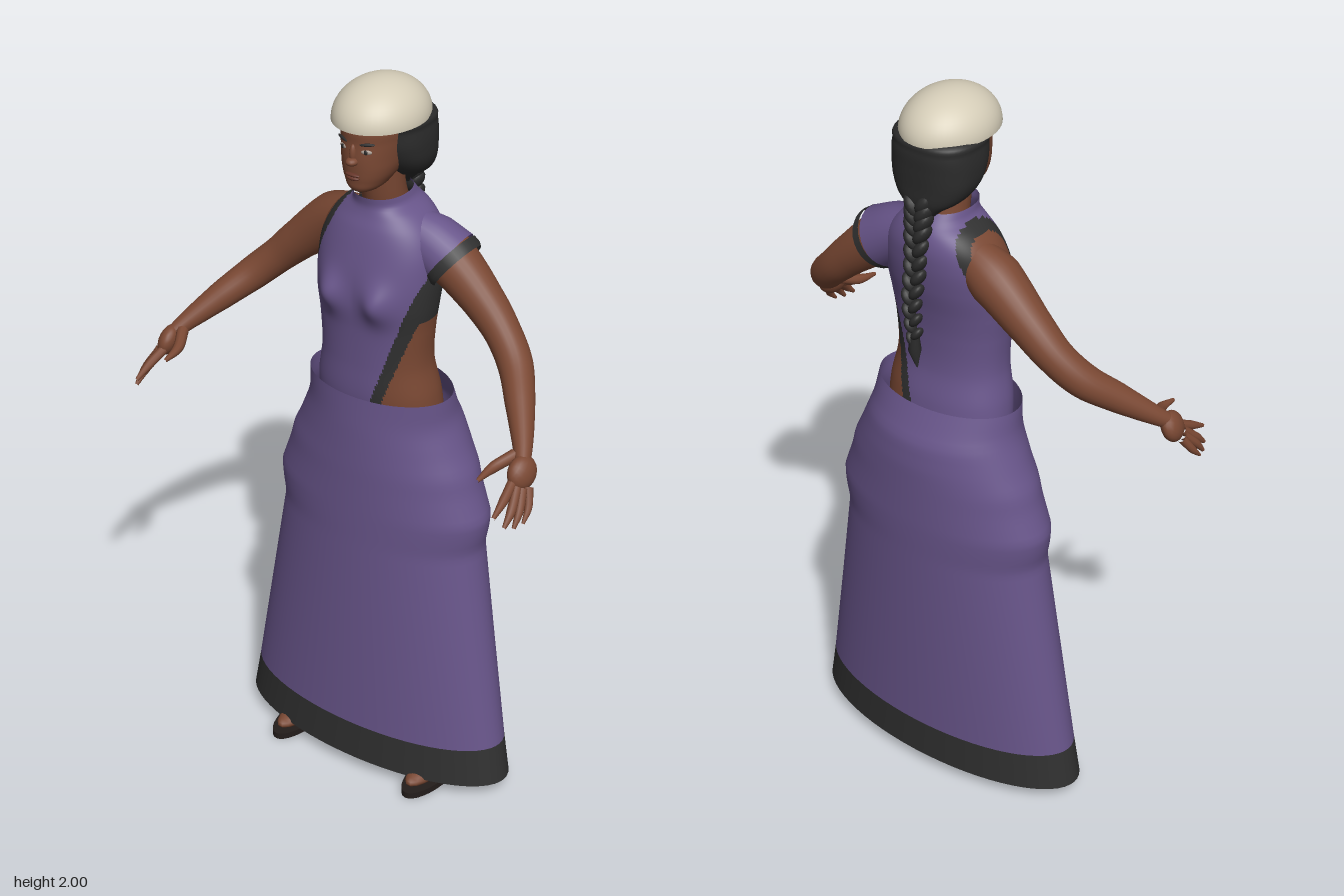
import * as THREE from 'three';

const flat = (name, color, side = THREE.FrontSide) => {
  const m = new THREE.MeshStandardMaterial({ color, side });
  m.name = name;
  return m;
};

export function createModel() {
  const model = new THREE.Group();
  model.name = 'figure';
  const cloth = flat('purple cloth', 0x68558a, THREE.DoubleSide);
  const trim = flat('charcoal trim', 0x303030, THREE.DoubleSide);
  const skin = flat('brown skin', 0x7a4833);
  const hairMat = flat('black hair', 0x2b2b2b);
  const capMat = flat('cream cap', 0xd5cdb8, THREE.DoubleSide);
  const lipMat = flat('lip', 0x653529);
  const white = flat('eye white', 0xa89a90);
  const sole = flat('sandal', 0x241d1b);

  const add = (name, geo, mat, parent = model) => {
    const mesh = new THREE.Mesh(geo, mat);
    mesh.name = name;
    parent.add(mesh);
    return mesh;
  };

  // Closed rings [y, halfWidth, zFront, zBack] joined into a skin; pick() chooses a material per face
  function loft(rows, { around = 48, steps = 40, n = 2, smooth = true, bump, pick } = {}) {
    const Interp = smooth ? THREE.CubicInterpolant : THREE.LinearInterpolant;
    const f = new Interp(rows.map(r => r[0]), new Float32Array(rows.flatMap(r => r.slice(1))), 3);
    const y0 = rows[0][0], y1 = rows[rows.length - 1][0], pos = [], buckets = [[], [], []];
    const pw = v => Math.sign(v) * Math.abs(v) ** (2 / n);
    for (let i = 0; i <= steps; i++) {
      const y = y0 + (y1 - y0) * i / steps;
      const [hw, zf, zb] = f.evaluate(y);
      for (let j = 0; j < around; j++) {
        const a = j / around * Math.PI * 2;
        const x = hw * pw(Math.sin(a));
        let z = (zf + zb) / 2 + (zf - zb) / 2 * pw(Math.cos(a));
        if (bump) z += bump(x, y, Math.cos(a));
        pos.push(x, y, z);
      }
    }
    for (let i = 0; i < steps; i++) for (let j = 0; j < around; j++) {
      const k = (j + 1) % around;
      const a = i * around + j, b = i * around + k, c = b + around, d = a + around;
      const mid = q => (pos[a * 3 + q] + pos[c * 3 + q]) / 2;
      buckets[pick ? pick(mid(0), mid(1), mid(2)) : 0].push(a, b, c, a, c, d);
    }
    const g = new THREE.BufferGeometry();
    g.setAttribute('position', new THREE.Float32BufferAttribute(pos, 3));
    g.setIndex(buckets.flat());
    let start = 0;
    if (pick) buckets.forEach((b, m) => { g.addGroup(start, b.length, m); start += b.length; });
    g.computeVertexNormals();
    return g;
  }

  // Round limb through points [x, y, z, radius]
  function limb(pts, s = 1, steps = 28, sides = 18) {
    const curve = new THREE.CatmullRomCurve3(pts.map(p => new THREE.Vector3(p[0] * s, p[1], p[2])));
    const g = new THREE.TubeGeometry(curve, steps, 1, sides);
    const p = g.attributes.position, v = new THREE.Vector3();
    for (let i = 0; i <= steps; i++) {
      const c = curve.getPointAt(i / steps);
      const t = curve.getUtoTmapping(i / steps) * (pts.length - 1);
      const k = Math.min(Math.floor(t), pts.length - 2);
      const r = THREE.MathUtils.lerp(pts[k][3], pts[k + 1][3], t - k);
      for (let j = 0; j <= sides; j++) {
        const q = i * (sides + 1) + j;
        v.fromBufferAttribute(p, q).sub(c).multiplyScalar(r).add(c);
        p.setXYZ(q, v.x, v.y, v.z);
      }
    }
    return g;
  }

  const ball = (name, mat, [x, y, z], [a, b, c], parent = model) => {
    const m = add(name, new THREE.SphereGeometry(1, 18, 12), mat, parent);
    m.position.set(x, y, z);
    m.scale.set(a, b, c);
    return m;
  };

  // Torso: asymmetric top with one bare shoulder and a cut-out at the left waist
  const torsoColour = (x, y) => {
    const armhole = y > 1.55 ? -0.13 + (y - 1.55) * 0.4 : -0.13 + (y - 1.55) * 0.33;
    if (y > 1.41 && y < 1.685 && x < armhole) return x > armhole - 0.024 ? 1 : 2;
    const edge = 0.05 + (y - 1.16) / 3;
    if (y < 1.53 && x > edge) return x < edge + 0.03 || y > 1.385 ? 1 : 2;
    return 0;
  };
  add('torso', loft([
    [0.85, 0.02, -0.05, -0.1], [0.95, 0.17, 0.03, -0.17], [1.1, 0.176, 0.045, -0.18],
    [1.16, 0.172, 0.052, -0.175], [1.25, 0.156, 0.052, -0.158], [1.35, 0.16, 0.055, -0.16],
    [1.42, 0.168, 0.06, -0.17], [1.5, 0.172, 0.055, -0.188], [1.57, 0.165, 0.04, -0.198],
    [1.62, 0.142, 0.025, -0.198], [1.655, 0.108, 0.01, -0.188], [1.675, 0.078, 0.005, -0.175],
    [1.7, 0.068, 0.008, -0.155],
  ], {
    around: 200, steps: 130, n: 2.2, pick: torsoColour,
    bump: (x, y, front) => front > 0
      ? 0.032 * front * Math.exp(-(((Math.abs(x) - 0.077) / 0.042) ** 2) - ((y - 1.44) / 0.05) ** 2) : 0,
  }), [cloth, trim, skin]);

  // Long skirt with a dark hem
  add('skirt', loft([
    [0.15, 0.4, 0.098, -0.23], [0.73, 0.306, 0.08, -0.247], [0.78, 0.316, 0.079, -0.249],
    [0.82, 0.32, 0.078, -0.25], [0.9, 0.29, 0.076, -0.25], [0.95, 0.277, 0.075, -0.25],
    [1.0, 0.252, 0.073, -0.25], [1.07, 0.222, 0.07, -0.243], [1.1, 0.213, 0.068, -0.228],
    [1.16, 0.208, 0.064, -0.2],
  ], { around: 64, steps: 60, smooth: false }), cloth);
  add('hem', loft([[0.04, 0.42, 0.102, -0.228], [0.15, 0.4, 0.098, -0.23]],
    { around: 64, steps: 2, smooth: false }), trim);

  // Neck and head
  add('neck', limb([[0, 1.64, -0.09, 0.06], [0, 1.7, -0.075, 0.056], [0, 1.8, -0.06, 0.055]]), skin);
  add('head', loft([
    [1.722, 0.01, 0.025, -0.005], [1.733, 0.034, 0.044, -0.05], [1.76, 0.056, 0.052, -0.09],
    [1.79, 0.07, 0.055, -0.13], [1.82, 0.078, 0.056, -0.17], [1.86, 0.084, 0.053, -0.185],
    [1.9, 0.086, 0.05, -0.19], [1.95, 0.06, 0.01, -0.14],
  ], { n: 2.2 }), skin);
  ball('nose', skin, [0, 1.817, 0.056], [0.016, 0.011, 0.019]);
  ball('noseBridge', skin, [0, 1.836, 0.052], [0.009, 0.026, 0.011]);
  ball('upperLip', lipMat, [0, 1.781, 0.055], [0.022, 0.005, 0.008]);
  ball('lowerLip', lipMat, [0, 1.772, 0.054], [0.019, 0.006, 0.009]);
  for (const s of [-1, 1]) {
    ball('eye', white, [s * 0.035, 1.846, 0.045], [0.014, 0.006, 0.004]).rotation.y = s * 0.4;
    ball('iris', hairMat, [s * 0.034, 1.846, 0.048], [0.006, 0.006, 0.003]);
    const brow = ball('eyebrow', hairMat, [s * 0.037, 1.866, 0.045], [0.02, 0.004, 0.004]);
    brow.rotation.set(0, s * 0.4, s * 0.1);
  }

  // Hair, cap and braid
  add('hair', loft([
    [1.69, 0.02, -0.15, -0.19], [1.72, 0.05, -0.12, -0.195], [1.745, 0.085, -0.07, -0.2],
    [1.78, 0.108, -0.035, -0.201], [1.83, 0.116, -0.008, -0.203], [1.88, 0.113, 0, -0.203],
    [1.905, 0.107, 0.005, -0.195], [1.93, 0.03, -0.05, -0.12],
  ], { n: 2.5 }), hairMat);
  const cap = add('cap', new THREE.SphereGeometry(1, 48, 16, 0, Math.PI * 2, 0, Math.PI / 2), capMat);
  cap.position.set(0, 1.9, -0.065);
  cap.scale.set(0.116, 0.1, 0.14);
  const braid = new THREE.Group();
  braid.name = 'braid';
  model.add(braid);
  const path = new THREE.CatmullRomCurve3([[1.74, -0.18], [1.67, -0.19], [1.57, -0.2], [1.47, -0.217], [1.36, -0.208]]
    .map(([y, z]) => new THREE.Vector3(0, y, z)));
  for (let i = 0; i < 22; i++) {
    const t = i / 21, p = path.getPoint(t), s = i % 2 ? 1 : -1, w = 1 - 0.45 * t;
    const lock = ball('braidLock', hairMat, [s * 0.016 * w, p.y, p.z], [0.02 * w, 0.038 * w, 0.03 * w], braid);
    lock.rotation.z = s * -0.6;
  }
  add('braidTail', limb([[0, 1.37, -0.208, 0.012], [0, 1.33, -0.208, 0.017], [0, 1.275, -0.2, 0.002]]), hairMat, braid);

  // Arms, hands and feet, mirrored
  const fingers = [
    [[0.525, 1.195, 0.1, 0.016], [0.497, 1.175, 0.155, 0.014], [0.492, 1.165, 0.215, 0.005]],
    [[0.552, 1.15, 0.15, 0.013], [0.56, 1.125, 0.2, 0.012], [0.563, 1.1, 0.248, 0.005]],
    [[0.565, 1.14, 0.15, 0.013], [0.58, 1.1, 0.195, 0.012], [0.582, 1.07, 0.228, 0.005]],
    [[0.575, 1.135, 0.14, 0.013], [0.592, 1.095, 0.178, 0.011], [0.595, 1.062, 0.205, 0.005]],
    [[0.583, 1.135, 0.125, 0.012], [0.6, 1.095, 0.15, 0.01], [0.604, 1.065, 0.178, 0.004]],
  ];
  for (const s of [-1, 1]) {
    const arm = new THREE.Group();
    arm.name = s > 0 ? 'leftArm' : 'rightArm';
    model.add(arm);
    add('armSkin', limb([
      [0.08, 1.59, -0.095, 0.05], [0.17, 1.55, -0.105, 0.07], [0.28, 1.46, -0.105, 0.055],
      [0.35, 1.393, -0.095, 0.047], [0.41, 1.335, -0.065, 0.045], [0.47, 1.275, 0, 0.038],
      [0.53, 1.21, 0.075, 0.025], [0.55, 1.185, 0.105, 0.02],
    ], s, 40, 24), skin, arm);
    const palm = ball('palm', skin, [s * 0.558, 1.165, 0.118], [0.026, 0.04, 0.045], arm);
    palm.rotation.set(0.7, 0, s * 0.45);
    fingers.forEach(f => add('finger', limb(f, s, 10, 10), skin, arm));

    const leg = new THREE.Group();
    leg.name = s > 0 ? 'leftLeg' : 'rightLeg';
    model.add(leg);
    add('legSkin', limb([
      [0.1, 0.95, -0.08, 0.085], [0.15, 0.55, -0.08, 0.06], [0.185, 0.32, -0.09, 0.052],
      [0.21, 0.1, -0.085, 0.033], [0.215, 0.03, -0.085, 0.036],
    ], s), skin, leg);
    ball('foot', skin, [s * 0.22, 0.035, 0], [0.038, 0.026, 0.108], leg);
    ball('instep', skin, [s * 0.218, 0.05, -0.045], [0.032, 0.04, 0.07], leg);
    const base = add('sandalSole', new THREE.CylinderGeometry(1, 1, 0.018, 32), sole, leg);
    base.position.set(s * 0.222, 0.009, -0.005);
    base.scale.set(0.05, 1, 0.127);
    const strap = add('sandalStrap', new THREE.TorusGeometry(0.036, 0.006, 8, 24, Math.PI), sole, leg);
    strap.position.set(s * 0.22, 0.022, 0.035);
  }

  // Short cap sleeve on the left shoulder with a dark edge
  add('sleeve', limb([[0.07, 1.6, -0.095, 0.056], [0.13, 1.575, -0.1, 0.074], [0.187, 1.542, -0.105, 0.08]], 1, 16, 28), cloth);
  add('sleeveTrim', limb([[0.183, 1.544, -0.105, 0.081], [0.198, 1.533, -0.105, 0.081], [0.206, 1.527, -0.105, 0.076]], 1, 6, 28), trim);

  return model;
}
